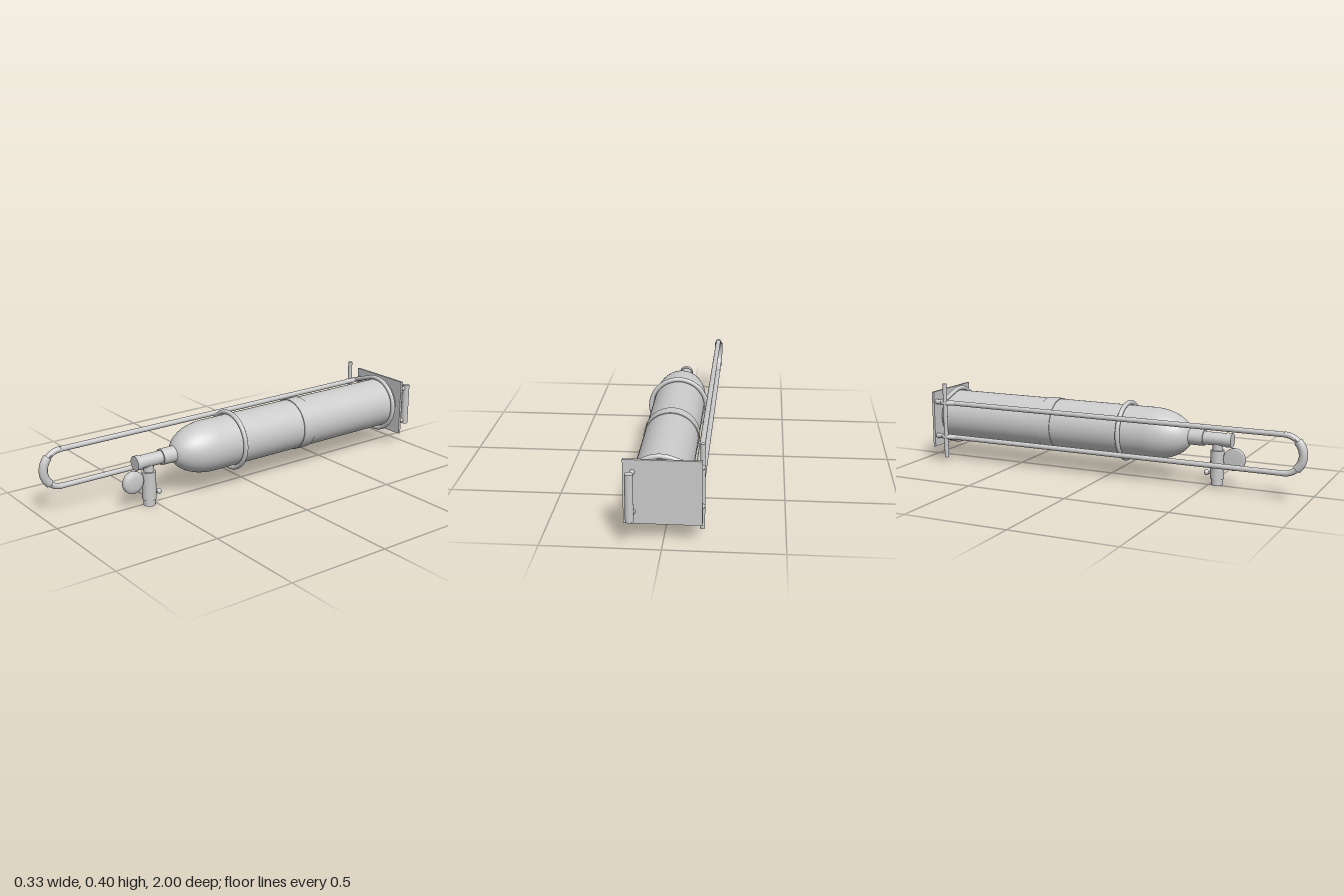
import * as THREE from 'three';

const CX = 0.016, CY = 0.217; // axis of the tank
const V = (x, y, z) => new THREE.Vector3(x, y, z);

export function createModel() {
  const model = new THREE.Group();
  const mat = new THREE.MeshStandardMaterial({ color: 0xcccccc });

  function add(name, geometry, x = 0, y = 0, z = 0) {
    const mesh = new THREE.Mesh(geometry, mat);
    mesh.name = name;
    mesh.position.set(x, y, z);
    model.add(mesh);
    return mesh;
  }
  // upright rod between two heights
  const rod = (name, r, y0, y1, x, z) =>
    add(name, new THREE.CylinderGeometry(r, r, y1 - y0, 32), x, (y0 + y1) / 2, z);
  // turned part along z from [radius, z] pairs, running back to front
  const turned = (name, pts) => {
    const g = new THREE.LatheGeometry(pts.map(p => new THREE.Vector2(p[0], p[1])), 64);
    return add(name, g.rotateX(Math.PI / 2), CX, CY, 0);
  };
  const tube = (name, curve, r, n = 64) => add(name, new THREE.TubeGeometry(curve, n, r, 16), 0, 0, 0);

  // tank: straight shell with a rounded bottom edge, and an elliptical shoulder
  const R = 0.123;
  turned('tankBase', [[0, -0.91], [R - 0.012, -0.91], [R - 0.004, -0.906], [R, -0.895]]);
  turned('tankShell', [[R, -0.895], [R, 0.21]]);
  const dome = [];
  for (let i = 0; i <= 20; i++) {
    const a = (i / 20) * 1.27;
    dome.push([R * Math.cos(a), 0.21 + 0.2 * Math.sin(a)]);
  }
  turned('tankShoulder', dome);
  turned('tankBand', [[R, -0.352], [0.127, -0.352], [0.127, -0.352], [0.127, -0.285], [0.127, -0.285], [R, -0.285]]);

  // neck, stem and end cap
  for (const [name, r, z0, z1] of [['neck', 0.038, 0.38, 0.47], ['stem', 0.031, 0.47, 0.58], ['stemCap', 0.034, 0.578, 0.607]]) {
    const g = new THREE.CylinderGeometry(r, r, z1 - z0, 40).rotateX(Math.PI / 2);
    add(name, g, CX, CY, (z0 + z1) / 2);
  }

  // valve hanging under the stem
  rod('valveNeck', 0.024, 0.16, 0.21, CX, 0.535);
  rod('valveBody', 0.033, 0.03, 0.165, CX, 0.535);
  rod('valveOutlet', 0.028, 0, 0.032, CX, 0.535);
  add('valveScrew', new THREE.CylinderGeometry(0.007, 0.007, 0.03, 16).rotateX(Math.PI / 2), CX, 0.053, 0.497);
  add('valveKnob', new THREE.SphereGeometry(0.013, 20, 14), CX, 0.053, 0.483);

  // gauge: a disc with a bulging back
  const profile = [[0, -0.016], [0.048, -0.016], [0.053, -0.012], [0.053, 0.002], [0.046, 0.01], [0.028, 0.015], [0, 0.016]];
  const gauge = add('gauge', new THREE.LatheGeometry(profile.map(p => new THREE.Vector2(...p)), 40), 0.02, 0.128, 0.618);
  gauge.rotation.z = -Math.PI / 2;
  add('gaugeStem', new THREE.CylinderGeometry(0.009, 0.009, 0.04, 16).rotateX(Math.PI / 2), CX, 0.128, 0.565);

  // long U-shaped handle frame with a thicker grip
  const railX = -0.14, bend = 0.087, bendZ = 0.893;
  const arc = (a0, a1, n) => Array.from({ length: n + 1 }, (_, i) => {
    const a = a0 + ((a1 - a0) * i) / n;
    return V(railX, CY + bend * Math.sin(a), bendZ + bend * Math.cos(a));
  });
  tube('handleBend', new THREE.CatmullRomCurve3(arc(-Math.PI / 2, Math.PI / 2, 16)), 0.0135);
  const gripArc = arc(-0.8, 0.8, 12);
  tube('handleGrip', new THREE.CatmullRomCurve3(gripArc), 0.02);
  for (const i of [0, 12]) {
    // closed ends of the grip
    const cap = add('gripEnd', new THREE.CylinderGeometry(0.02, 0.02, 0.002, 24), gripArc[i].x, gripArc[i].y, gripArc[i].z);
    cap.rotation.x = i ? 0.8 + Math.PI : -0.8;
  }
  for (const s of [-1, 1]) {
    const y = CY + s * bend;
    tube('rail', new THREE.LineCurve3(V(railX, y, bendZ), V(railX, y, -0.915)), 0.0125, 1);
  }

  // front hoop around the tank
  const hoopR = 0.135;
  add('frontHoop', new THREE.TorusGeometry(hoopR, 0.011, 16, 72), CX, CY, 0.083);

  // rear hoop: an open ring whose arms run out tangentially to the rails
  const ring = [], t = 1.89;
  for (let i = 0; i <= 32; i++) {
    const a = t - (2 * t * i) / 32;
    ring.push(V(CX + hoopR * Math.cos(a), CY + hoopR * Math.sin(a), -0.872));
  }
  const arm = s => [
    V(railX, CY + s * bend, -0.80), V(-0.152, CY + s * bend, -0.83), V(-0.156, CY + s * 0.086, -0.855),
    V(-0.146, CY + s * 0.088, -0.87), V(-0.085, CY + s * 0.108, -0.872),
  ];
  tube('rearHoop', new THREE.CatmullRomCurve3([...arm(1), ...ring, ...arm(-1).reverse()]), 0.011, 160);

  // cross rod, foot plate and rear handle
  rod('crossRod', 0.0105, 0.027, 0.403, -0.156, -0.848);
  add('footPlate', new THREE.BoxGeometry(0.323, 0.281, 0.012), 0.0015, 0.2155, -0.917);
  rod('rearHandle', 0.0175, 0.113, 0.321, 0.13, -0.9825);
  for (const s of [-1, 1]) {
    const y = CY + s * bend;
    tube('rearHandleLeg', new THREE.LineCurve3(V(0.121, y, -0.915), V(0.13, y, -0.98)), 0.0105, 1);
  }
  return model;
}
